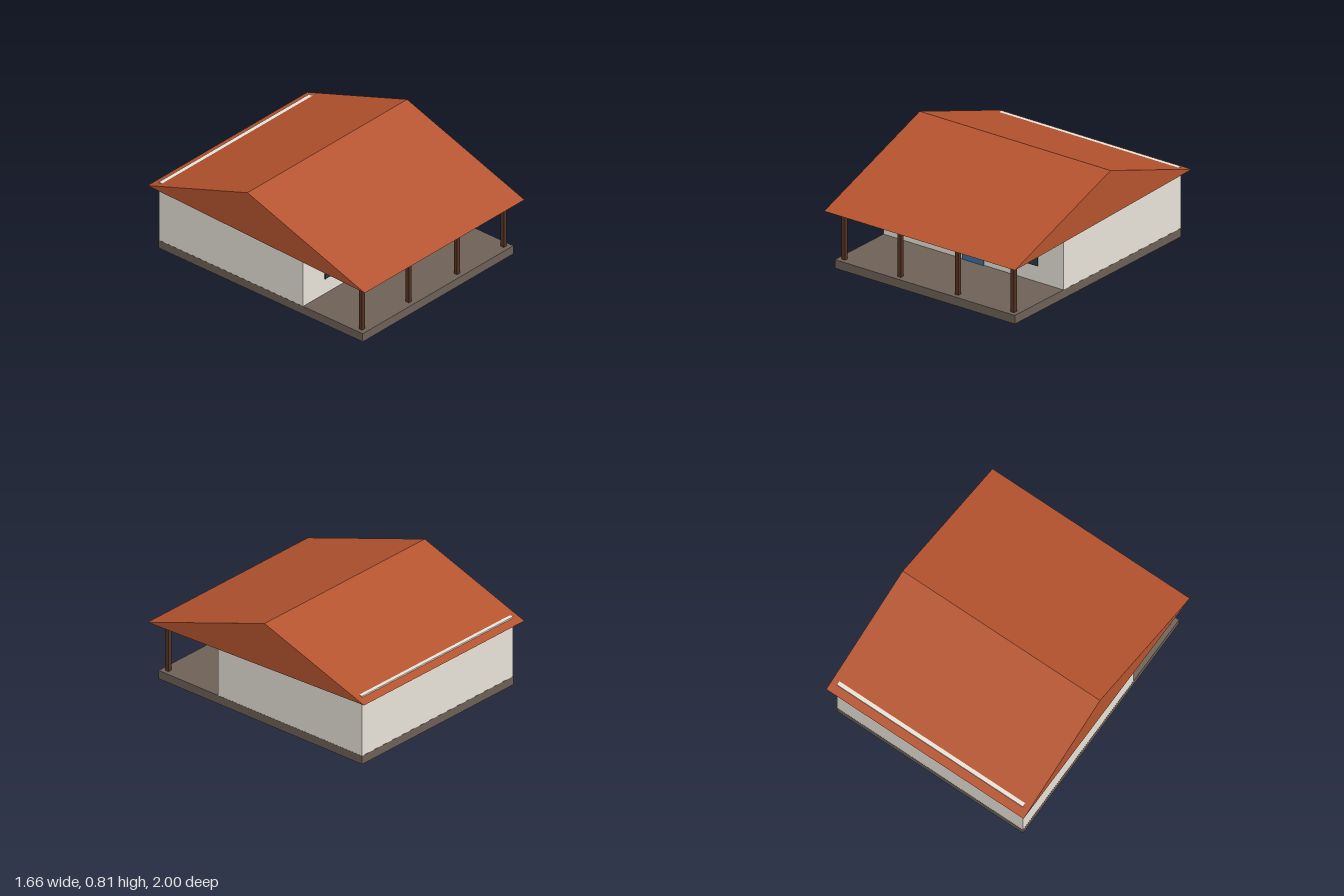
import * as THREE from 'three';

const material = (name, color) => {
  const m = new THREE.MeshStandardMaterial({ color });
  m.name = name;
  return m;
};

export function createModel() {
  const house = new THREE.Group();
  house.name = 'house';

  const roofTile = material('terracotta', 0xb5532f);
  const plaster = material('plaster', 0xe8e3d9);
  const stone = material('stone', 0x6d6057);
  const timber = material('dark timber', 0x553322);
  const doorBlue = material('door blue', 0x396ea6);
  const glass = material('dark glass', 0x263946);
  stone.side = THREE.DoubleSide;

  const floor = 0.065;
  const wallFront = 0.391;

  // Box given by its lower and upper corners; those resting on the floor or ground have no underside
  const box = (name, mat, [x0, y0, z0], [x1, y1, z1]) => {
    const geometry = new THREE.BoxGeometry(x1 - x0, y1 - y0, z1 - z0);
    if (y0 <= floor) {
      const index = Array.from(geometry.index.array);
      index.splice(18, 6);
      geometry.setIndex(index);
      geometry.clearGroups();
    }
    const mesh = new THREE.Mesh(geometry, mat);
    mesh.position.set((x0 + x1) / 2, (y0 + y1) / 2, (z0 + z1) / 2);
    mesh.name = name;
    house.add(mesh);
  };

  // Hollow plinth, open below, which is also the porch floor
  box('plinth', stone, [-0.782, 0, -0.94], [0.782, floor, 0.94]);

  // Walls, whose rear top edge shows just above the roof
  box('walls', plaster, [-0.781, floor, -0.939], [0.781, 0.531, wallFront]);

  // Front door and windows
  box('door', doorBlue, [-0.092, floor, wallFront], [0.092, 0.392, wallFront + 0.008]);
  for (const side of [-1, 1]) {
    const x = side * 0.466;
    box('window', glass, [x - 0.095, 0.186, wallFront], [x + 0.095, 0.361, wallFront + 0.008]);
  }

  // Porch posts
  for (const x of [-0.735, -0.25, 0.25, 0.735]) {
    box('porchPost', timber, [x - 0.015, floor, 0.876], [x + 0.015, 0.446, 0.906]);
  }

  // Solid gable roof, with the longer slope reaching over the porch
  const profile = new THREE.Shape();
  profile.moveTo(-1, 0.438);
  profile.lineTo(1, 0.5);
  profile.lineTo(0.08, 0.812);
  profile.closePath();
  const width = 1.658;
  const roofGeometry = new THREE.ExtrudeGeometry(profile, { depth: width, bevelEnabled: false });
  roofGeometry.translate(0, 0, -width / 2).rotateY(Math.PI / 2);
  const roof = new THREE.Mesh(roofGeometry, roofTile);
  roof.name = 'roof';
  house.add(roof);

  return house;
}
